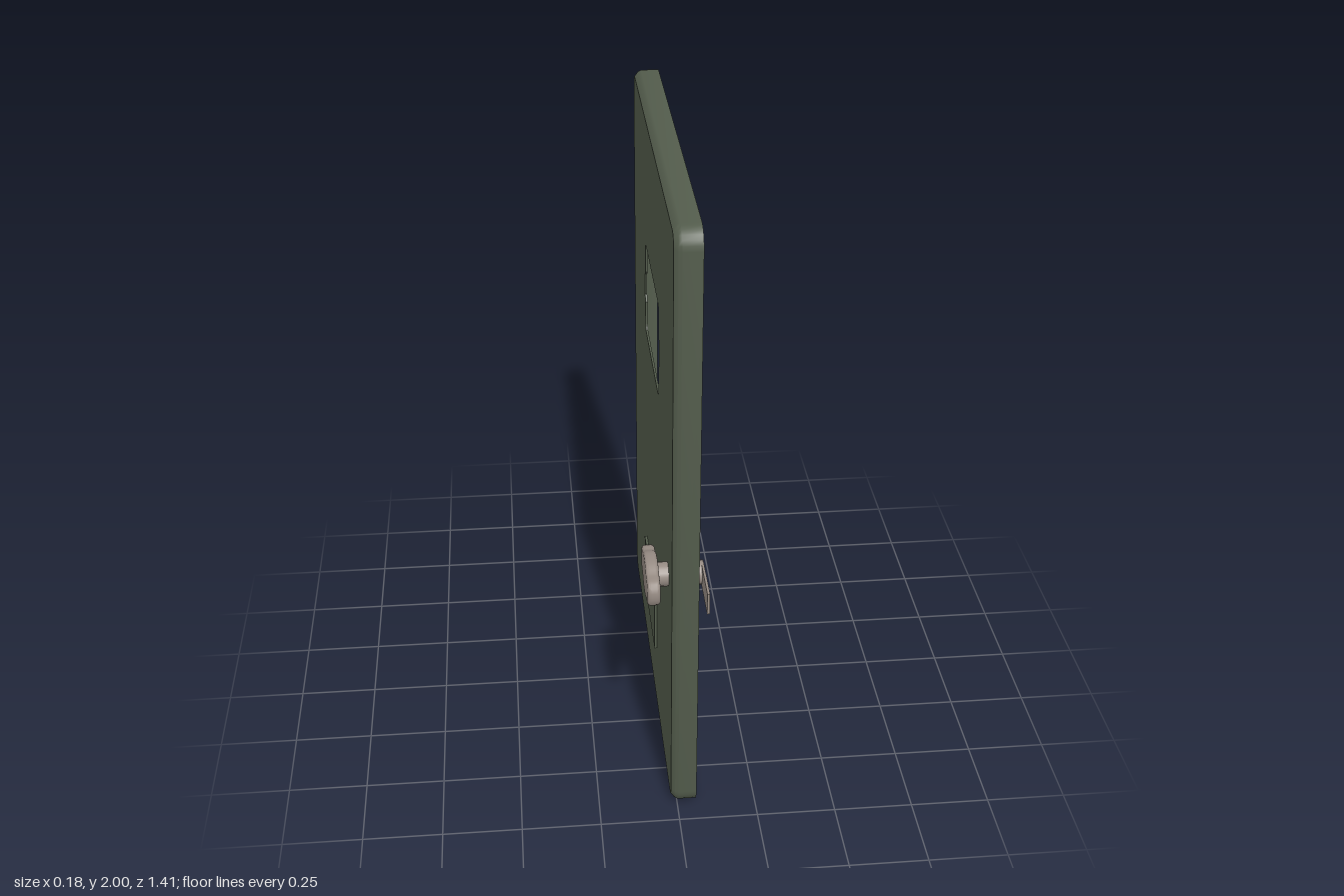
import * as THREE from 'three';
import { toCreasedNormals } from 'three/addons/utils/BufferGeometryUtils.js';

const paint = new THREE.MeshStandardMaterial({ color: 0x535c4c });
paint.name = 'olive paint';
const metal = new THREE.MeshStandardMaterial({ color: 0x968b83 });
metal.name = 'bare metal';

const H = 2, Z0 = -0.705, Z1 = 0.69, ZC = (Z0 + Z1) / 2;
const LATCH_Y = 0.805, LATCH_Z = 0.54;

// Rounded door outline in (z, y), shrunk by an inset
function outline(inset, radius) {
  const pts = [], n = 6;
  const hw = (Z1 - Z0) / 2 - inset, hh = H / 2 - inset;
  const corners = [[1, 1], [-1, 1], [-1, -1], [1, -1]];
  corners.forEach(([sz, sy], c) => {
    for (let i = 0; i <= n; i++) {
      const a = (c + i / n) * Math.PI / 2;
      pts.push(new THREE.Vector2(
        ZC + sz * (hw - radius) + Math.cos(a) * radius,
        H / 2 + sy * (hh - radius) + Math.sin(a) * radius));
    }
  });
  return pts;
}

// Joins a series of closed outlines, each given as [x, inset, radius]
function loftRim(sections) {
  const loops = sections.map(([x, inset, r]) => outline(inset, r).map(p => [x, p.y, p.x]));
  const n = loops[0].length, pos = [], idx = [];
  loops.forEach(l => l.forEach(p => pos.push(...p)));
  for (let i = 0; i < loops.length - 1; i++) {
    for (let j = 0; j < n; j++) {
      const k = (j + 1) % n;
      const a = i * n + j, b = a + n, c = (i + 1) * n + k, d = i * n + k;
      idx.push(a, b, c, a, c, d);
    }
  }
  const g = new THREE.BufferGeometry();
  g.setAttribute('position', new THREE.Float32BufferAttribute(pos, 3));
  g.setIndex(idx);
  return toCreasedNormals(g, 0.6);
}

// Extrudes a (z, y) shape from x = xStart towards -x
function extrudeX(shape, xStart, depth, options = {}) {
  const g = new THREE.ExtrudeGeometry(shape, { depth, bevelEnabled: false, curveSegments: 10, ...options });
  g.rotateY(-Math.PI / 2);
  g.translate(xStart, 0, 0);
  return toCreasedNormals(g, 0.6);
}

// Window cut-out with a small tab on each side
function windowPath() {
  const l = -0.24, r = 0.225, b = 1.25, t = 1.56, c = 0.025;
  const p = new THREE.Path();
  p.moveTo(l + c, b);
  p.lineTo(r - c, b);
  p.quadraticCurveTo(r, b, r, b + c);
  p.lineTo(r, 1.35);
  p.lineTo(r + 0.022, 1.368);
  p.lineTo(r + 0.022, 1.44);
  p.lineTo(r, 1.458);
  p.lineTo(r, t - c);
  p.quadraticCurveTo(r, t, r - c, t);
  p.lineTo(l + c, t);
  p.quadraticCurveTo(l, t, l, t - c);
  p.lineTo(l, 1.458);
  p.lineTo(l - 0.022, 1.44);
  p.lineTo(l - 0.022, 1.368);
  p.lineTo(l, 1.35);
  p.lineTo(l, b + c);
  p.quadraticCurveTo(l, b, l + c, b);
  return p;
}

export function createModel() {
  const model = new THREE.Group();
  model.name = 'hatchDoor';
  const add = (parent, name, geometry, material) => {
    const mesh = new THREE.Mesh(geometry, material);
    mesh.name = name;
    parent.add(mesh);
    return mesh;
  };

  // Thin door skin with the window hole
  const skin = new THREE.Shape(outline(0.02, 0.04));
  skin.holes.push(windowPath());
  add(model, 'doorSkin', extrudeX(skin, -0.013, 0.007), paint);

  // Folded rim: chamfer, outer wall, lip and inner wall
  add(model, 'doorRim', loftRim([
    [-0.02, 0.02, 0.04], [-0.008, 0.005, 0.055], [0.002, 0, 0.06], [0.06, 0, 0.06],
    [0.06, 0.016, 0.044], [-0.013, 0.02, 0.04],
  ]), paint);

  // Raised cover plate low on the outer face
  const cover = new THREE.Shape([
    [-0.21, 0.25], [0.18, 0.25], [0.18, 0.46], [0.13, 0.46], [0.12, 0.45], [-0.21, 0.45],
  ].map(([z, y]) => new THREE.Vector2(z, y)));
  add(model, 'coverPlate', extrudeX(cover, -0.02, 0.009), paint);

  // Latch: wing knob outside, spindle through the door, cam inside
  const latch = new THREE.Group();
  latch.name = 'latch';
  latch.position.set(0, LATCH_Y, LATCH_Z);
  model.add(latch);

  const half = [[0.113, 0], [0.108, 0.024], [0.09, 0.034], [0.066, 0.036], [0.042, 0.048], [0.02, 0.055]];
  const upper = [...half, ...half.slice(1).reverse().map(([z, y]) => [-z, y])];
  const lower = [[-0.113, 0], ...upper.slice(1).map(([z, y]) => [-z, -y])];
  const knobCurve = new THREE.SplineCurve([...upper, ...lower, half[0]].map(([z, y]) => new THREE.Vector2(z, y)));
  add(latch, 'wingKnob', extrudeX(new THREE.Shape(knobCurve.getPoints(48).slice(0, -1)), -0.063, 0.018, {
    bevelEnabled: true, bevelThickness: 0.011, bevelSize: 0.01, bevelSegments: 3,
  }), metal);

  const spindle = new THREE.CylinderGeometry(0.038, 0.038, 0.145, 20);
  spindle.rotateZ(Math.PI / 2);
  spindle.translate(0.015, 0, 0);
  add(latch, 'spindle', spindle, metal);

  const cam = new THREE.Shape();
  cam.moveTo(0.17, -0.036);
  cam.lineTo(0.17, 0.036);
  cam.lineTo(0, 0.036);
  cam.absarc(0, 0, 0.036, Math.PI / 2, Math.PI * 1.5, false);
  cam.lineTo(0.17, -0.036);
  add(latch, 'cam', extrudeX(cam, 0.09, 0.008), metal);

  // Worn paint patches on the inner rim: [y, z, height, length along z]
  const wear = new THREE.Group();
  wear.name = 'wornPatches';
  model.add(wear);
  [
    [1.981, 0.2, 0.004, 0.16], [0.019, 0.47, 0.004, 0.09], [0.019, -0.115, 0.004, 0.22],
    [1.42, 0.671, 0.16, 0.004],
  ].forEach(([y, z, h, len]) => {
    const patch = new THREE.BoxGeometry(0.045, h, len);
    patch.translate(0.035, y, z);
    add(wear, 'wornPatch', patch, metal);
  });

  return model;
}
